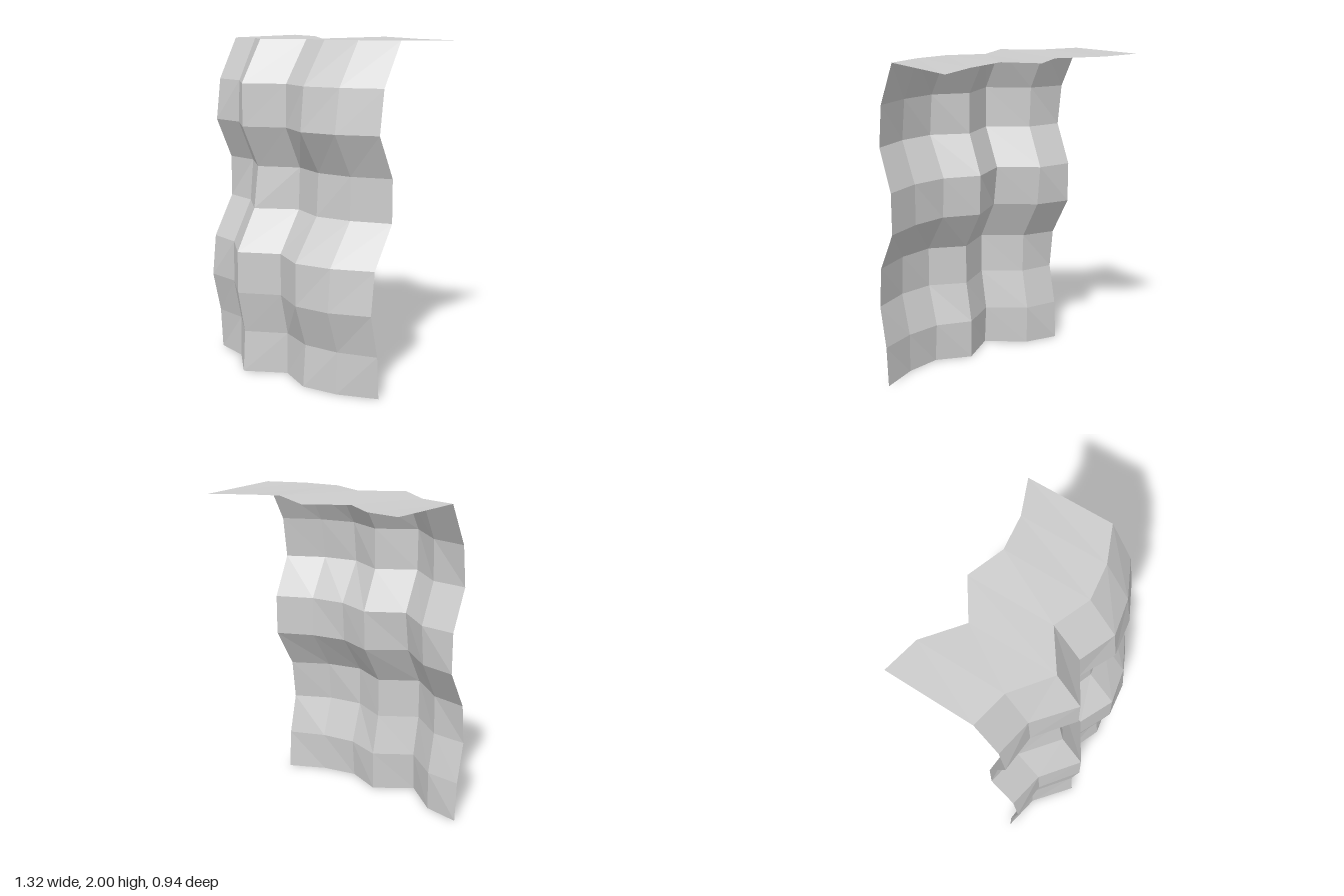
import * as THREE from 'three';

// Cross-sections from the back edge of the top flap down to the hem:
// [height, depth at each of the seven columns from -x to +x]
const SECTIONS = [
  [1.99, -0.47, -0.43, -0.265, -0.42, -0.34, -0.375, -0.47],
  [1.99, 0.06, 0.10, 0.265, 0.107, 0.19, 0.157, 0.06],
  [1.74, 0.197, 0.235, 0.415, 0.275, 0.36, 0.31, 0.197],
  [1.49, 0.23, 0.245, 0.415, 0.28, 0.385, 0.345, 0.23],
  [1.245, 0.115, 0.13, 0.295, 0.165, 0.24, 0.215, 0.115],
  [0.995, 0.115, 0.155, 0.33, 0.175, 0.255, 0.215, 0.115],
  [0.75, 0.26, 0.30, 0.47, 0.33, 0.43, 0.38, 0.26],
  [0.5, 0.288, 0.305, 0.47, 0.33, 0.432, 0.40, 0.288],
  [0.25, 0.23, 0.25, 0.42, 0.275, 0.35, 0.32, 0.23],
  [0, 0.215, 0.255, 0.435, 0.28, 0.37, 0.325, 0.215],
];
// Slight ripple along the back edge of the flap
const RIPPLE = [0.01, 0.004, -0.006, -0.004, 0.01, 0, -0.008];

export function createModel() {
  const group = new THREE.Group();
  group.name = 'hangingCloth';

  const clothGrey = new THREE.MeshStandardMaterial({
    color: 0xcccccc, flatShading: true, side: THREE.DoubleSide,
  });
  clothGrey.name = 'cloth grey';

  // Builds a strip of cloth through the given run of cross-sections
  function addCloth(name, first, last) {
    const rows = last - first;
    const geometry = new THREE.PlaneGeometry(1.32, 1, 6, rows);
    const position = geometry.attributes.position;
    for (let r = 0; r <= rows; r++) {
      const [y, ...depths] = SECTIONS[first + r];
      depths.forEach((z, c) => {
        const lift = first + r === 0 ? RIPPLE[c] : 0;
        position.setXYZ(r * 7 + c, -0.66 + c * 0.22, y + lift, z);
      });
    }
    geometry.computeVertexNormals();
    const mesh = new THREE.Mesh(geometry, clothGrey);
    mesh.name = name;
    group.add(mesh);
  }

  addCloth('topFlap', 0, 1);
  addCloth('hangingDrape', 1, 9);
  return group;
}
